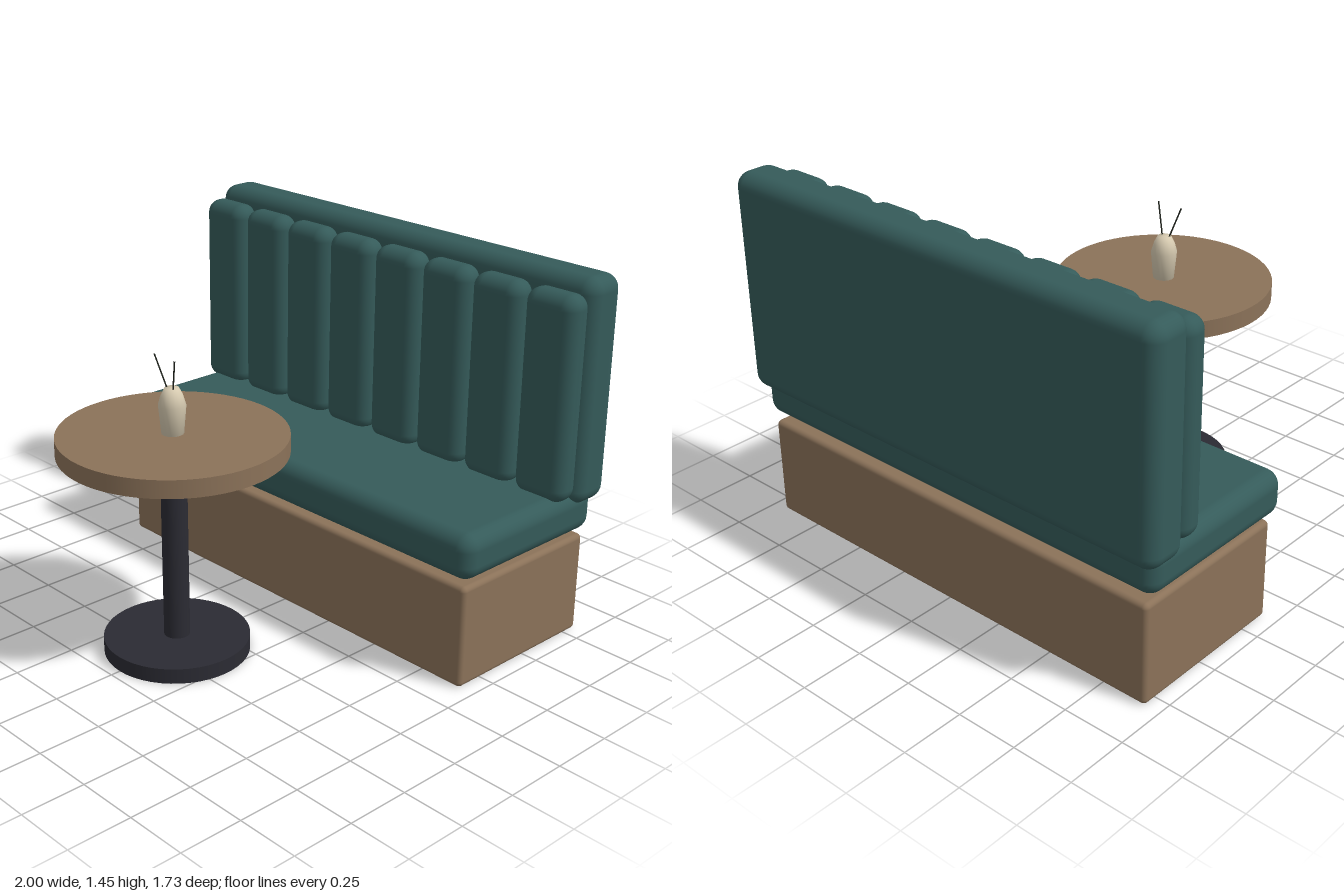
import * as THREE from 'three';
import { RoundedBoxGeometry } from 'three/addons/geometries/RoundedBoxGeometry.js';

const paint = (name, color) => Object.assign(new THREE.MeshStandardMaterial({ color }), { name });

export function createModel() {
  const teal = paint('teal upholstery', 0x355b5a);
  const wood = paint('wood', 0x8b7259);
  const metal = paint('dark metal', 0x2b2b33);
  const cream = paint('cream ceramic', 0xd6cab0);
  cream.side = THREE.DoubleSide;
  const twigColor = paint('dark twig', 0x22261f);

  const model = new THREE.Group();
  model.name = 'boothWithTable';
  const add = (parent, name, geometry, material, x = 0, y = 0, z = 0) => {
    const mesh = new THREE.Mesh(geometry, material);
    mesh.name = name;
    mesh.position.set(x, y, z);
    parent.add(mesh);
    return mesh;
  };
  // Rounded block given by its x centre, width and y / z extents
  const block = (parent, name, material, x, width, [y0, y1], [z0, z1], radius) =>
    add(parent, name, new RoundedBoxGeometry(width, y1 - y0, z1 - z0, 4, radius), material,
      x, (y0 + y1) / 2, (z0 + z1) / 2);

  // Bench: plinth, seat cushion, backrest and upright padded channels
  const bench = new THREE.Group();
  bench.name = 'bench';
  model.add(bench);
  block(bench, 'plinth', wood, 0, 1.885, [0, 0.41], [-0.815, -0.125], 0.02);
  block(bench, 'seatCushion', teal, 0, 1.95, [0.44, 0.62], [-0.825, -0.095], 0.06);
  block(bench, 'backrest', teal, 0, 2, [0.565, 1.45], [-0.865, -0.68], 0.06);
  for (let i = 0; i < 8; i++) {
    block(bench, 'backChannel', teal, (i - 3.5) * 0.25, 0.23, [0.6, 1.403], [-0.7, -0.578], 0.055);
  }

  // Round pedestal table
  const table = new THREE.Group();
  table.name = 'table';
  table.position.z = 0.43;
  model.add(table);
  const disc = (name, radius, y0, y1, material, sides) =>
    add(table, name, new THREE.CylinderGeometry(radius, radius, y1 - y0, sides), material, 0, (y0 + y1) / 2);
  disc('tableFoot', 0.28, 0, 0.06, metal, 48);
  disc('tableColumn', 0.05, 0.06, 0.815, metal, 24);
  disc('tableTop', 0.43, 0.815, 0.885, wood, 64);

  // Vase with two twigs
  const profile = [[0, 0], [0.042, 0], [0.052, 0.11], [0.042, 0.145], [0.027, 0.175], [0, 0.175]]
    .map(([r, y]) => new THREE.Vector2(r, y));
  add(table, 'vase', new THREE.LatheGeometry(profile, 16), cream, 0, 0.885);
  for (const side of [-1, 1]) {
    const path = new THREE.LineCurve3(
      new THREE.Vector3(side * 0.012, 1.04, 0.005),
      new THREE.Vector3(side * 0.057, 1.183, 0.031));
    add(table, 'twig', new THREE.TubeGeometry(path, 1, 0.003, 6), twigColor);
  }
  return model;
}
